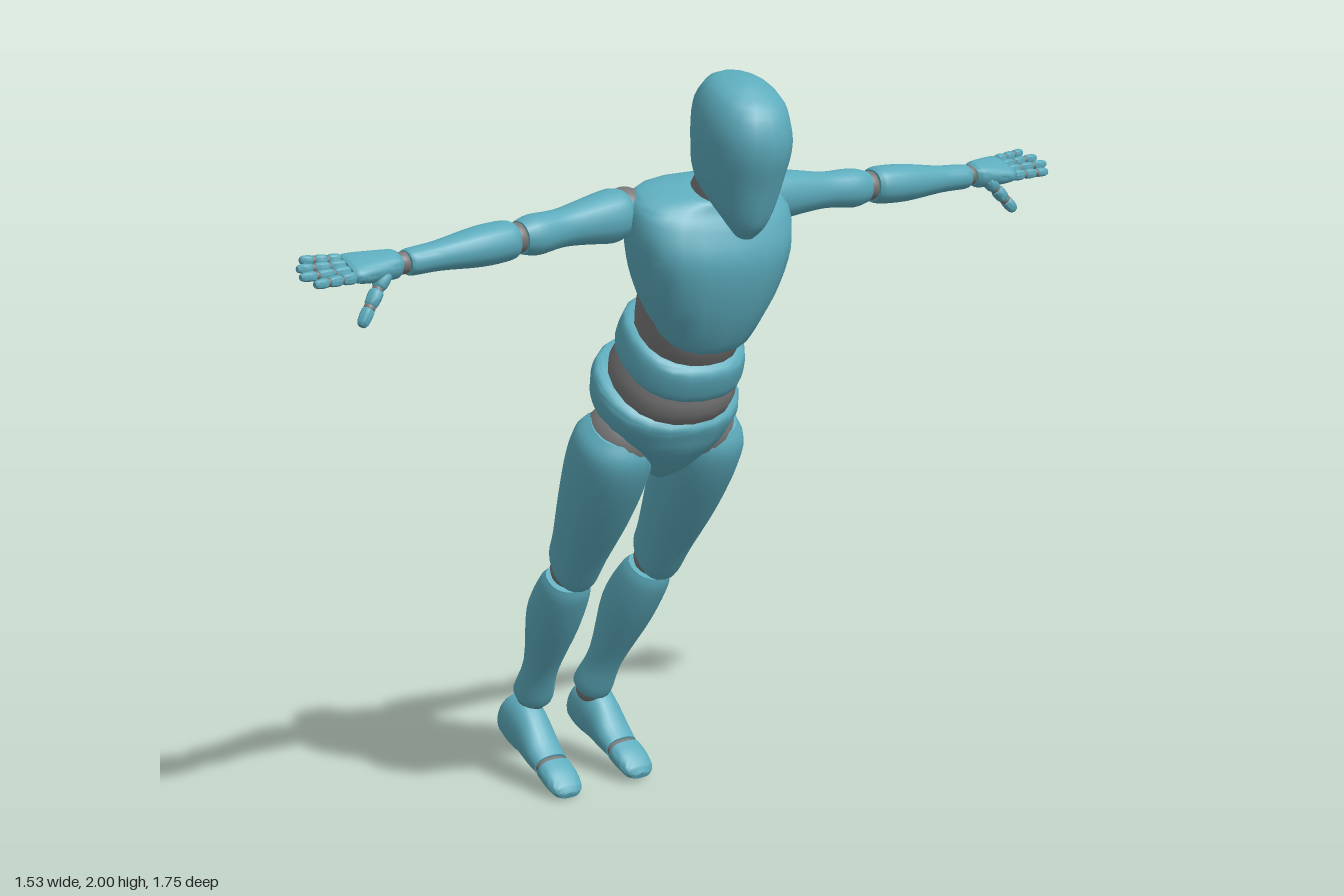
import * as THREE from 'three';
import { toCreasedNormals } from 'three/addons/utils/BufferGeometryUtils.js';

const V = (x, y, z) => new THREE.Vector3(x, y, z);

// Smooth loft along +y. Rows: [along, halfWidth, front, back, dip]; dip lowers the front of a
// row and raises its back. A power below 1 squares the section.
function loft(rows, { length = 1, power = 0.9, sides = 20, steps = 4 } = {}) {
  const curve = (k) => {
    const i = Math.min(Math.floor(k), rows.length - 2), t = k - i;
    const at = (j) => rows[Math.max(0, Math.min(rows.length - 1, j))];
    return rows[0].map((_, c) => {
      const [a, b, d, e] = [at(i - 1)[c], at(i)[c], at(i + 1)[c], at(i + 2)[c]];
      const m0 = (d - a) / 2, m1 = (e - b) / 2;
      return (2 * t ** 3 - 3 * t * t + 1) * b + (t ** 3 - 2 * t * t + t) * m0
        + (3 * t * t - 2 * t ** 3) * d + (t ** 3 - t * t) * m1;
    });
  };
  const sgn = (v) => Math.sign(v) * Math.abs(v) ** power;
  const pos = [], idx = [], n = (rows.length - 1) * steps;
  for (let r = 0; r <= n; r++) {
    const [y, w, f, b, dip = 0] = curve(r / steps);
    for (let s = 0; s < sides; s++) {
      const a = (s / sides) * Math.PI * 2;
      const z = (f + b) / 2 + ((f - b) / 2) * sgn(Math.sin(a));
      pos.push(w * sgn(Math.cos(a)), y * length - dip * z, z);
    }
  }
  for (let r = 0; r < n; r++) {
    for (let s = 0; s < sides; s++) {
      const p = r * sides + s, q = r * sides + ((s + 1) % sides);
      idx.push(p, p + sides, q, q, p + sides, q + sides);
    }
  }
  // end caps
  for (const [r, row] of [[0, rows[0]], [n, rows[rows.length - 1]]]) {
    const c = pos.length / 3, [y, , f, b, dip = 0] = row, z = (f + b) / 2;
    pos.push(0, y * length - dip * z, z);
    for (let s = 0; s < sides; s++) {
      const p = r * sides + s, q = r * sides + ((s + 1) % sides);
      idx.push(c, ...(r === 0 ? [p, q] : [q, p]));
    }
  }
  const g = new THREE.BufferGeometry();
  g.setAttribute('position', new THREE.Float32BufferAttribute(pos, 3));
  g.setIndex(idx);
  return toCreasedNormals(g, 0.7);
}

export function createModel() {
  const shell = new THREE.MeshStandardMaterial({ color: 0x5cabbc });
  shell.name = 'teal shell';
  const joint = new THREE.MeshStandardMaterial({ color: 0x787878 });
  joint.name = 'grey joint';

  const model = new THREE.Group();
  model.name = 'mannequin';
  // The figure faces diagonally
  const body = new THREE.Group();
  body.name = 'body';
  body.rotation.y = Math.PI / 4;
  model.add(body);

  const add = (parent, name, geo, mat) => {
    const m = new THREE.Mesh(geo, mat);
    m.name = name;
    parent.add(m);
    return m;
  };
  const ball = (name, p, r) => add(body, name, new THREE.SphereGeometry(r, 20, 14), joint).position.copy(p);
  // Loft between two points, with its front turned towards a given direction
  const limb = (name, a, b, front, rows, mat = shell, opts = {}) => {
    const y = b.clone().sub(a), length = y.length();
    y.normalize();
    const z = front.clone().addScaledVector(y, -front.dot(y)).normalize();
    const m = add(body, name, loft(rows, { length, ...opts }), mat);
    m.quaternion.setFromRotationMatrix(new THREE.Matrix4().makeBasis(y.clone().cross(z), y, z));
    m.position.copy(a);
  };

  // Torso and head lean forward together
  const torso = new THREE.Group();
  torso.name = 'torso';
  torso.position.set(0, 1.1, -0.13);
  torso.rotation.x = 0.42;
  body.add(torso);

  add(torso, 'pelvis', loft([
    [-0.16, 0.03, 0.05, -0.07, 0], [-0.10, 0.09, 0.10, -0.15, 0], [-0.03, 0.16, 0.125, -0.18, 0.05],
    [0.03, 0.195, 0.13, -0.195, 0.15], [0.075, 0.195, 0.13, -0.195, 0.24], [0.09, 0.175, 0.11, -0.175, 0.24],
  ]), shell);
  add(torso, 'waist', loft([
    [0.03, 0.15, 0.1, -0.15, 0.2], [0.115, 0.168, 0.128, -0.165, 0.2], [0.2, 0.14, 0.10, -0.14, 0.2],
  ]), joint);
  add(torso, 'abdomen', loft([
    [0.155, 0.15, 0.12, -0.15, 0.2], [0.17, 0.163, 0.137, -0.165, 0.2],
    [0.235, 0.156, 0.137, -0.163, 0.2], [0.252, 0.138, 0.115, -0.145, 0.2],
  ], { power: 0.85 }), shell);
  add(torso, 'upperWaist', loft([
    [0.2, 0.128, 0.10, -0.125, 0.2], [0.30, 0.142, 0.12, -0.135, 0.2], [0.40, 0.145, 0.10, -0.13, 0.2],
  ]), joint);
  add(torso, 'chest', loft([
    [0.305, 0.115, 0.12, -0.11, 0.2], [0.32, 0.135, 0.142, -0.135, 0.2], [0.42, 0.185, 0.15, -0.165, 0.1],
    [0.53, 0.215, 0.13, -0.18, 0], [0.60, 0.212, 0.08, -0.175, 0], [0.632, 0.175, 0.045, -0.15, 0],
    [0.655, 0.08, 0.03, -0.10, 0],
  ], { power: 0.77 }), shell);
  add(torso, 'neck', loft([
    [0.60, 0.075, 0.04, -0.11], [0.68, 0.065, 0.04, -0.09], [0.76, 0.06, 0.05, -0.07],
  ]), joint);
  add(torso, 'head', loft([
    [0.615, 0.025, 0.137, 0.085], [0.65, 0.055, 0.155, 0.01], [0.695, 0.085, 0.157, -0.095],
    [0.76, 0.1, 0.152, -0.125], [0.84, 0.109, 0.147, -0.147], [0.895, 0.102, 0.125, -0.147],
    [0.94, 0.076, 0.08, -0.115], [0.964, 0.022, 0.0, -0.04],
  ], { power: 0.9, sides: 16, steps: 3 }), shell);

  // Arms, hands, legs and feet: each side has its own joint positions
  const sides = [
    { side: 'left', s: 1, shoulder: V(0.2, 1.665, -0.02), elbow: V(0.55, 1.65, -0.035),
      wrist: V(0.885, 1.645, -0.055), tip: V(1.125, 1.66, -0.075),
      thumb: V(1.02, 1.545, -0.03), hip: V(0.14, 1.09, -0.145), knee: V(0.145, 0.64, -0.425),
      ankle: V(0.095, 0.22, -0.67), heel: V(0.11, 0.155, -0.76), toe: V(0.135, 0.035, -0.475) },
    { side: 'right', s: -1, shoulder: V(-0.21, 1.66, 0), elbow: V(-0.53, 1.63, 0.045),
      wrist: V(-0.845, 1.605, 0.065), tip: V(-1.12, 1.61, 0.08),
      thumb: V(-0.985, 1.48, 0.125), hip: V(-0.135, 1.09, -0.145), knee: V(-0.12, 0.65, -0.41),
      ankle: V(-0.095, 0.23, -0.66), heel: V(-0.11, 0.155, -0.755), toe: V(-0.1, 0.028, -0.457) },
  ];
  const UP = V(0, 1, 0), FRONT = V(0, 0, 1);
  // The hands roll forward
  const HAND_UP = V(0, Math.cos(0.4), Math.sin(0.4)), HAND_FRONT = V(0, -Math.sin(0.4), Math.cos(0.4));

  for (const p of sides) {
    const name = (part) => p.side + part;

    // Arm
    ball(name('Shoulder'), p.shoulder.clone().add(V(-0.01 * p.s, 0, 0)), 0.058);
    limb(name('UpperArm'), p.shoulder, p.elbow, UP, [
      [-0.03, 0.046, 0.044, -0.048], [0.03, 0.062, 0.058, -0.064], [0.16, 0.064, 0.058, -0.07],
      [0.38, 0.055, 0.05, -0.058], [0.6, 0.047, 0.043, -0.049], [0.84, 0.051, 0.047, -0.052],
      [0.965, 0.041, 0.039, -0.042],
    ]);
    ball(name('Elbow'), p.elbow, 0.038);
    limb(name('Forearm'), p.elbow, p.wrist, UP, [
      [0.03, 0.043, 0.041, -0.041], [0.1, 0.053, 0.048, -0.048], [0.35, 0.054, 0.047, -0.048],
      [0.7, 0.04, 0.034, -0.036], [0.94, 0.036, 0.031, -0.033], [0.97, 0.03, 0.025, -0.027],
    ]);
    ball(name('Wrist'), p.wrist, 0.027);

    // Hand
    limb(name('Palm'), p.wrist, p.tip, HAND_UP, [
      [0.04, 0.028, 0.024, -0.024], [0.1, 0.037, 0.03, -0.031], [0.35, 0.048, 0.025, -0.028],
      [0.5, 0.052, 0.019, -0.021], [0.54, 0.046, 0.013, -0.015],
    ], shell, { power: 0.75 });
    const finger = (part, a, b, r) => {
      for (let k = 0; k < 3; k++) {
        const t = k / 3, q = r * (1 - 0.1 * k);
        limb(name(part), a.clone().lerp(b, t), a.clone().lerp(b, t + 0.33), UP, [
          [0, q * 0.6, q * 0.6, -q * 0.6], [0.15, q, q, -q], [0.8, q * 0.92, q * 0.92, -q * 0.92],
          [1, q * 0.55, q * 0.55, -q * 0.55],
        ], shell, { sides: 10, steps: 2 });
        ball(name(part + 'Knuckle'), a.clone().lerp(b, t), r * 0.75);
      }
    };
    const along = p.tip.clone().sub(p.wrist).normalize();
    const palmEnd = p.wrist.clone().lerp(p.tip, 0.53);
    [0.112, 0.132, 0.124, 0.1].forEach((len, i) => {
      const off = 0.039 - i * 0.026;
      const a = palmEnd.clone().addScaledVector(HAND_FRONT, off);
      finger('Finger' + (i + 1), a, a.clone().addScaledVector(along, len).addScaledVector(HAND_FRONT, off * 0.35), 0.0145);
    });
    finger('Thumb', p.wrist.clone().lerp(p.tip, 0.2).add(V(0, -0.012, 0.02)), p.thumb, 0.019);

    // Leg
    ball(name('Hip'), p.hip.clone().add(V(-0.025 * p.s, -0.045, -0.025)), 0.1);
    limb(name('Thigh'), p.knee, p.hip, FRONT, [
      [-0.005, 0.045, 0.06, -0.04, 0.35], [0.045, 0.063, 0.078, -0.068, 0.35], [0.2, 0.071, 0.09, -0.072, 0.1],
      [0.48, 0.092, 0.112, -0.085, 0], [0.75, 0.103, 0.122, -0.1, 0], [0.91, 0.098, 0.112, -0.095, 0],
      [0.99, 0.068, 0.08, -0.065, 0],
    ]);
    ball(name('Knee'), p.knee, 0.053);
    limb(name('Shin'), p.ankle, p.knee, FRONT, [
      [0, 0.042, 0.042, -0.045], [0.045, 0.053, 0.051, -0.056], [0.26, 0.046, 0.046, -0.052],
      [0.62, 0.07, 0.064, -0.085], [0.85, 0.068, 0.066, -0.07], [0.935, 0.058, 0.056, -0.054],
    ]);
    ball(name('Ankle'), p.ankle, 0.041);

    // Foot with a separate toe cap
    limb(name('Foot'), p.heel, p.toe, UP, [
      [-0.03, 0.032, 0.055, -0.02], [0.04, 0.05, 0.086, -0.045], [0.2, 0.054, 0.102, -0.05],
      [0.36, 0.052, 0.086, -0.042], [0.55, 0.053, 0.05, -0.034], [0.68, 0.05, 0.034, -0.03],
    ]);
    limb(name('ToeJoint'), p.heel, p.toe, UP, [
      [0.64, 0.045, 0.028, -0.025], [0.72, 0.045, 0.028, -0.025], [0.8, 0.042, 0.022, -0.022],
    ], joint);
    limb(name('Toes'), p.heel, p.toe, UP, [
      [0.725, 0.05, 0.032, -0.03], [0.85, 0.051, 0.025, -0.03], [0.98, 0.044, 0.008, -0.028],
      [1.03, 0.026, -0.006, -0.024],
    ], shell, { power: 0.8 });
  }
  return model;
}
